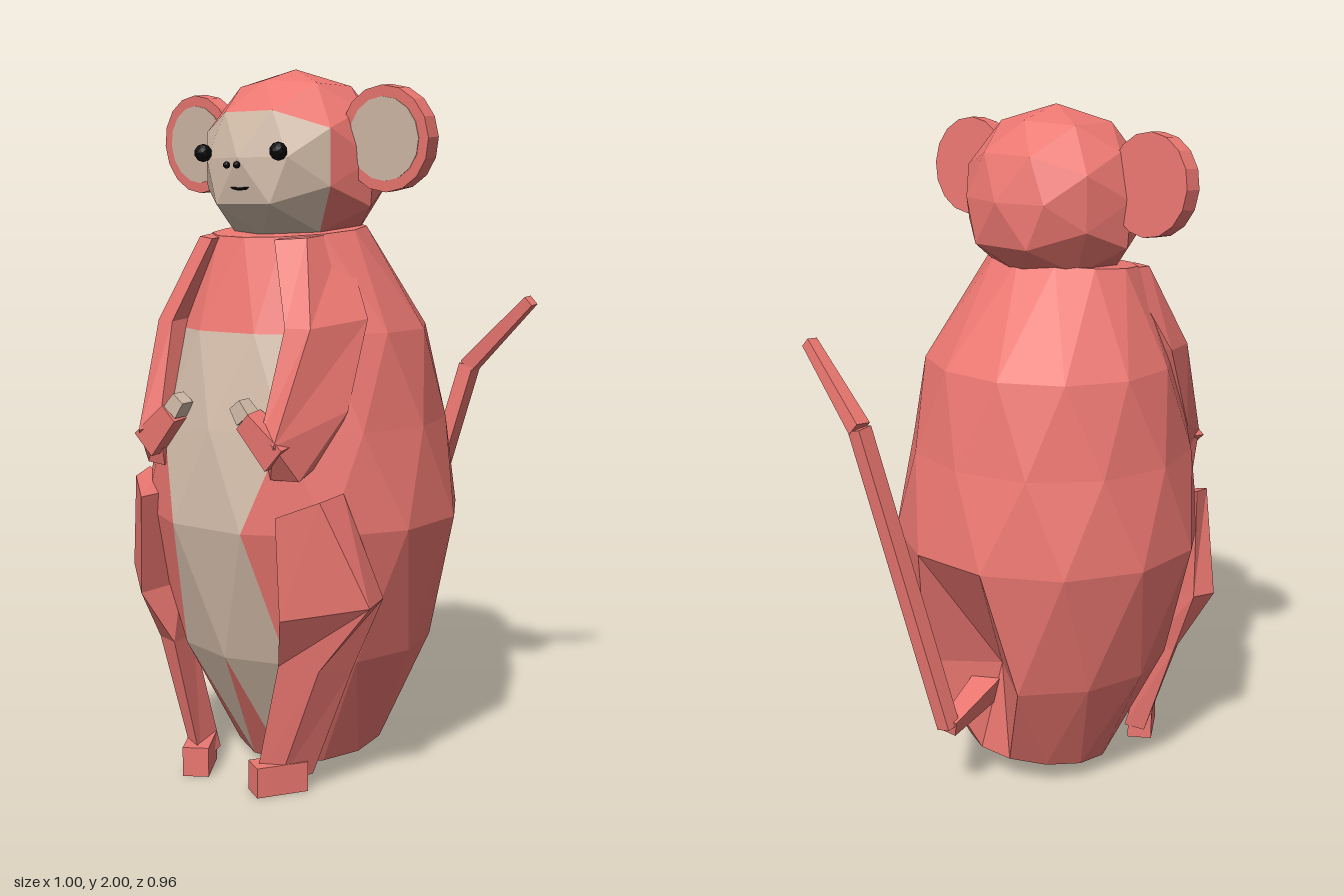
import * as THREE from 'three';

const mat = (color) => new THREE.MeshStandardMaterial({ color, flatShading: true });
const RED = mat(0xec7771), TAN = mat(0xd2bba8), BLACK = mat(0x080808);
const V = (x, y, z) => new THREE.Vector3(x, y, z);

function toGeometry(points) {
  const g = new THREE.BufferGeometry().setFromPoints(points);
  g.computeVertexNormals();
  return g;
}

// Triangles joining rings of points, bottom to top, with closed ends
function loft(rings, staggered = false) {
  const tris = [], n = rings[0].length;
  rings.slice(0, -1).forEach((b, i) => {
    const t = rings[i + 1];
    for (let j = 0; j < n; j++) {
      const k = (j + 1) % n;
      if (staggered && i % 2) tris.push(b[j], t[j], t[k], b[k], b[j], t[k]);
      else tris.push(b[k], b[j], t[j], b[k], t[j], t[k]);
    }
  });
  [rings[0], rings[rings.length - 1]].forEach((r, end) => {
    const c = r.reduce((s, p) => s.add(p), V(0, 0, 0)).divideScalar(n);
    for (let j = 0; j < n; j++) {
      const k = (j + 1) % n;
      tris.push(c, r[end ? k : j], r[end ? j : k]);
    }
  });
  return tris;
}

export function createModel() {
  const model = new THREE.Group();
  model.name = 'mouse';
  const add = (name, geometry, material) => {
    const m = new THREE.Mesh(geometry, material);
    m.name = name;
    model.add(m);
  };

  // Splits triangles into fur and pale skin by where their centres lie
  const addTwoTone = (furName, skinName, tris, isSkin) => {
    const fur = [], skin = [];
    for (let i = 0; i < tris.length; i += 3) {
      const t = tris.slice(i, i + 3);
      const c = V(0, 0, 0).add(t[0]).add(t[1]).add(t[2]).divideScalar(3);
      (isSkin(c) ? skin : fur).push(...t);
    }
    add(furName, toGeometry(fur), RED);
    add(skinName, toGeometry(skin), TAN);
  };

  // Four-sided bar between two points
  const bar = (name, a, b, ra, rb, material) => {
    const d = b.clone().sub(a);
    const g = new THREE.CylinderGeometry(rb, ra, d.length(), 4).rotateY(Math.PI / 4);
    g.applyQuaternion(new THREE.Quaternion().setFromUnitVectors(V(0, 1, 0), d.normalize()));
    const c = a.clone().add(b).multiplyScalar(0.5);
    add(name, g.translate(c.x, c.y, c.z), material);
  };

  // Limb from four-cornered sections, mirrored by side s
  const limb = (name, s, sections) => {
    const rings = sections.map((sec) => {
      const r = sec.map(([x, y, z]) => V(x, y, z * s));
      return s < 0 ? r.reverse() : r;
    });
    add(name, toGeometry(loft(rings)), RED);
  };

  // Egg-shaped body: height, centre x, radius x, radius z, tilt
  const N = 12;
  const rings = [
    [0.05, -0.01, 0.21, 0.22, 0.03], [0.37, -0.04, 0.37, 0.37, 0], [0.75, -0.05, 0.45, 0.465, 0],
    [1.02, -0.06, 0.41, 0.425, 0], [1.28, -0.055, 0.35, 0.375, 0], [1.555, -0.115, 0.2, 0.23, 0.02],
  ].map(([y, cx, rx, rz, tilt], i) => Array.from({ length: N }, (_, j) => {
    const a = ((j + (i % 2 ? 0 : -0.5)) / N) * Math.PI * 2;
    return V(cx + rx * Math.cos(a), y + tilt * Math.cos(a), rz * Math.sin(a));
  }));
  // Hollow above the tail, with a haunch on each side
  rings[1][0].x = 0.16;
  rings[1][1].x = rings[1][N - 1].x = 0.3;
  addTwoTone('body', 'belly', loft(rings, true),
    (c) => c.x < -0.28 && Math.abs(c.z) < 0.21 && c.y > 0.13 && c.y < 1.36);

  // Head with full cheeks and pale face
  const head = new THREE.IcosahedronGeometry(1, 1);
  const hp = head.attributes.position;
  const headTris = Array.from({ length: hp.count }, (_, i) => {
    const p = V(0, 0, 0).fromBufferAttribute(hp, i);
    const wide = p.y < -0.4 ? 1.13 : 1;
    return V(-0.082 + p.x * 0.26 * wide, Math.max(1.75 + p.y * 0.25, 1.535), p.z * 0.27 * wide);
  });
  addTwoTone('head', 'face', headTris,
    (c) => c.x < -0.23 && c.y < 1.84 && Math.abs(c.z) < 0.21);

  // Eyes, nostrils and mouth
  const dot = (name, r, x, y, z) =>
    add(name, new THREE.IcosahedronGeometry(r, 1).translate(x, y, z), BLACK);
  dot('eye', 0.025, -0.32, 1.765, -0.14);
  dot('eye', 0.025, -0.32, 1.765, 0.125);
  dot('nostril', 0.01, -0.35, 1.73, -0.03);
  dot('nostril', 0.01, -0.35, 1.73, 0.005);
  const smile = new THREE.CatmullRomCurve3([V(-0.315, 1.68, -0.07), V(-0.33, 1.665, 0), V(-0.315, 1.68, 0.06)]);
  add('mouth', new THREE.TubeGeometry(smile, 6, 0.004, 4), BLACK);

  for (const s of [1, -1]) {
    // Ear: a disc with a pale front
    const ear = new THREE.Group();
    ear.name = 'ear';
    const rim = new THREE.Mesh(new THREE.CylinderGeometry(0.142, 0.142, 0.05, 16), RED);
    rim.name = 'earRim';
    const inner = new THREE.Mesh(new THREE.CylinderGeometry(0.112, 0.112, 0.006, 16), TAN);
    inner.name = 'innerEar';
    inner.position.y = 0.024;
    ear.add(rim, inner);
    ear.rotation.set(0, s > 0 ? 0 : -0.1, Math.PI / 2 + 0.08);
    ear.position.set(s > 0 ? -0.11 : -0.09, 1.8, s * 0.338);
    model.add(ear);

    // Broad upper arm flowing out of the flank, from elbow to shoulder
    limb('upperArm', s, [
      [[-0.33, 0.95, 0.2], [-0.33, 0.95, 0.29], [-0.42, 0.9, 0.27], [-0.44, 0.9, 0.19]],
      [[-0.29, 1.08, 0.2], [-0.29, 1.08, 0.335], [-0.49, 1.0, 0.24], [-0.47, 1.02, 0.18]],
      [[-0.2, 1.32, 0.18], [-0.2, 1.32, 0.335], [-0.37, 1.3, 0.27], [-0.39, 1.3, 0.2]],
      [[-0.14, 1.55, 0.1], [-0.14, 1.55, 0.21], [-0.28, 1.535, 0.19], [-0.32, 1.53, 0.11]],
    ]);
    // Forearm folded in across the belly
    bar('forearm', V(-0.44, 0.965, s * 0.23), V(-0.458, 1.06, s * 0.13), 0.06, 0.042, RED);
    bar('hand', V(-0.458, 1.06, s * 0.13), V(-0.46, 1.1, s * 0.1), 0.036, 0.03, TAN);

    // Leg, from ankle to raised knee, turned inwards
    limb('leg', s, [
      [[-0.27, 0.04, 0.14], [-0.28, 0.04, 0.21], [-0.37, 0.03, 0.16], [-0.4, 0.03, 0.1]],
      [[-0.27, 0.36, 0.24], [-0.26, 0.36, 0.33], [-0.36, 0.37, 0.29], [-0.41, 0.38, 0.19]],
      [[-0.31, 0.53, 0.25], [-0.235, 0.57, 0.415], [-0.32, 0.56, 0.43], [-0.48, 0.53, 0.25]],
      [[-0.34, 0.81, 0.24], [-0.33, 0.865, 0.35], [-0.41, 0.85, 0.33], [-0.485, 0.81, 0.24]],
    ]);
    add('foot', new THREE.BoxGeometry(0.15, 0.085, 0.075).rotateY(-s * 0.55)
      .translate(-0.355, 0.0425, s * 0.145), RED);
  }

  // Bent tail
  const path = [V(0.14, 0.29, 0.06), V(0.385, 0.24, 0.01), V(0.485, 1.13, 0.24), V(0.46, 1.34, 0.465)];
  for (let i = 0; i < 3; i++) {
    bar('tail', path[i], path[i + 1], i ? 0.034 : 0.06, i === 2 ? 0.024 : 0.034, RED);
  }
  return model;
}
